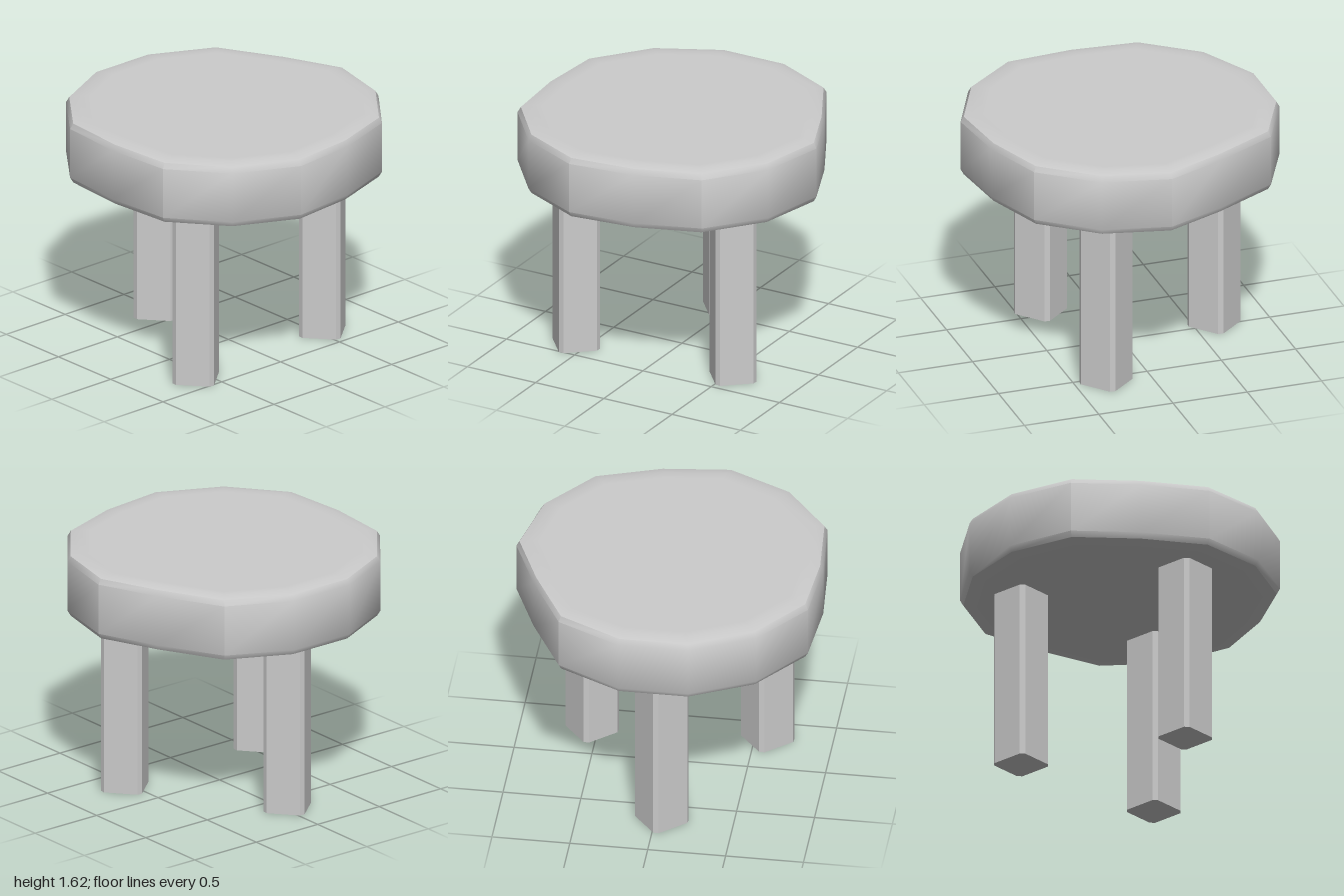
import * as THREE from 'three';
import { toCreasedNormals } from 'three/addons/utils/BufferGeometryUtils.js';

const material = new THREE.MeshStandardMaterial({ color: 0xcccccc });

// Irregular seat outline (x, z), clockwise seen from above
const OUTLINE = [
  [-0.26, -1], [0.19, -1], [0.6, -0.8], [0.82, -0.39], [0.985, 0],
  [0.885, 0.44], [0.6, 0.795], [0.18, 0.94], [-0.26, 0.99],
  [-0.67, 0.795], [-0.95, 0.445], [-0.985, 0], [-0.95, -0.445], [-0.67, -0.8],
];

// Edge profile: outline scale and height, bottom to top
const PROFILE = [
  [0.86, 1.185], [0.92, 1.185], [0.98, 1.2], [1, 1.235],
  [1, 1.57], [0.98, 1.605], [0.92, 1.62], [0.86, 1.62],
];

function seatGeometry() {
  const n = OUTLINE.length;
  const positions = [];
  const index = [];
  for (const [s, y] of PROFILE) {
    for (const [x, z] of OUTLINE) positions.push(x * s, y, z * s);
  }
  const last = PROFILE.length - 1;
  const bottom = n * PROFILE.length;
  const top = bottom + 1;
  positions.push(0, PROFILE[0][1], 0, 0, PROFILE[last][1], 0);

  for (let i = 0; i < n; i++) {
    const j = (i + 1) % n;
    for (let r = 0; r < last; r++) {
      const a = r * n + i, b = r * n + j;
      index.push(b, a, a + n, b, a + n, b + n);
    }
    index.push(bottom, i, j);
    index.push(top, last * n + j, last * n + i);
  }
  const geometry = new THREE.BufferGeometry();
  geometry.setAttribute('position', new THREE.Float32BufferAttribute(positions, 3));
  geometry.setIndex(index);
  return toCreasedNormals(geometry, 0.7);
}

// Square post with chamfered corners, turned so a corner faces forward
function legGeometry(height) {
  const H = 0.133, h = 0.108;
  const points = [
    [H, -h], [H, h], [h, H], [-h, H], [-H, h], [-H, -h], [-h, -H], [h, -H],
  ].map(([x, y]) => new THREE.Vector2(x, y));
  const geometry = new THREE.ExtrudeGeometry(new THREE.Shape(points), {
    depth: height, bevelEnabled: false,
  });
  geometry.rotateX(-Math.PI / 2);
  geometry.rotateY(0.703);
  return geometry;
}

export function createModel() {
  const stool = new THREE.Group();
  stool.name = 'stool';

  const seat = new THREE.Mesh(seatGeometry(), material);
  seat.name = 'seat';
  stool.add(seat);

  const leg = legGeometry(1.19);
  const places = [
    ['frontLeftLeg', 0.54, 0.29],
    ['frontRightLeg', -0.58, 0.34],
    ['backLeg', -0.04, -0.64],
  ];
  for (const [name, x, z] of places) {
    const mesh = new THREE.Mesh(leg, material);
    mesh.name = name;
    mesh.position.set(x, 0, z);
    stool.add(mesh);
  }
  return stool;
}
